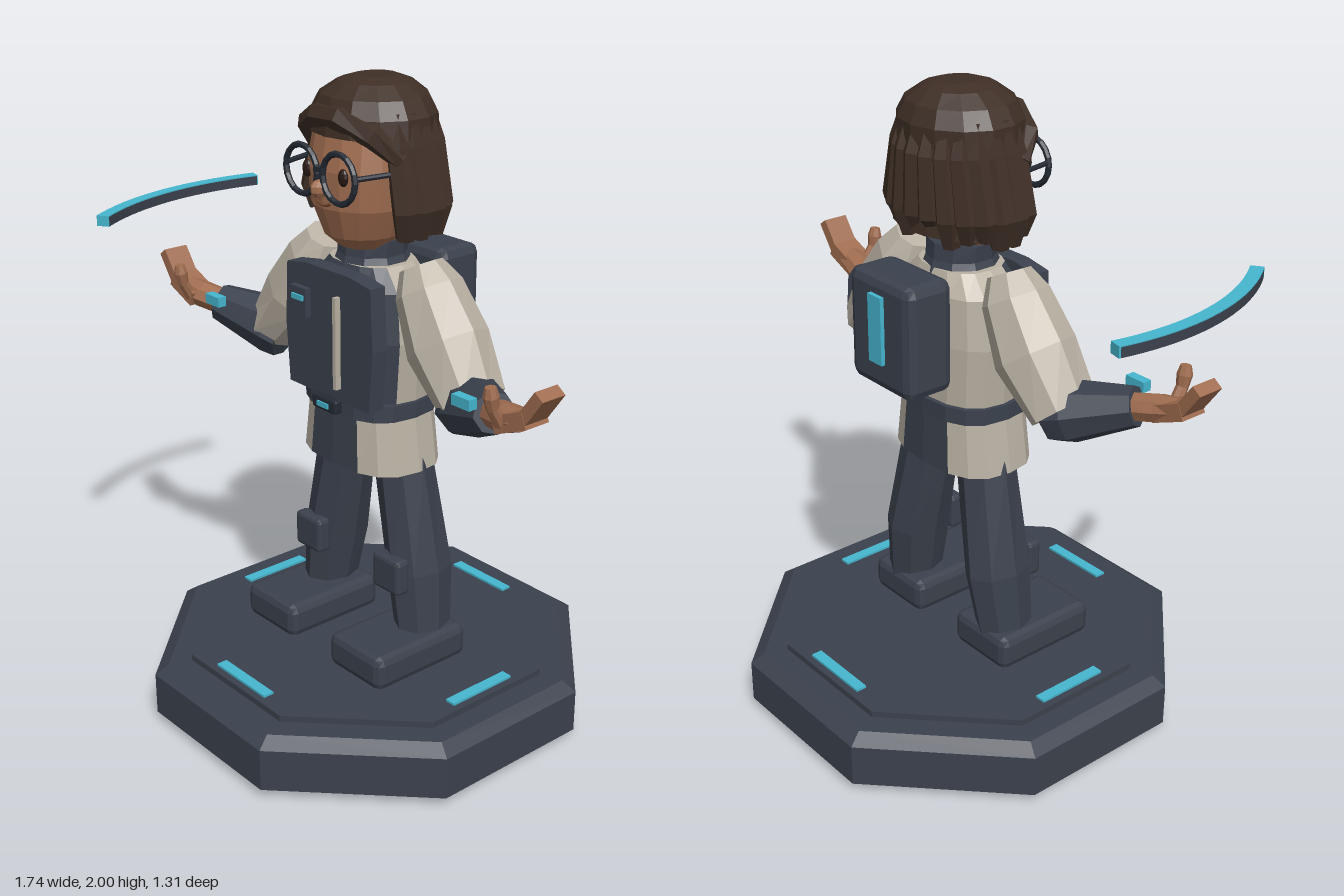
import * as THREE from 'three';
import { RoundedBoxGeometry } from 'three/addons/geometries/RoundedBoxGeometry.js';

const V = (x, y, z) => new THREE.Vector3(x, y, z);

function material(name, color) {
  const m = new THREE.MeshStandardMaterial({ color });
  m.name = name;
  return m;
}

// Faceted normals for the low-poly look
function facet(geo) {
  const g = geo.index ? geo.toNonIndexed() : geo;
  g.computeVertexNormals();
  return g;
}

// Skins a list of rings; pick(i) chooses which side strips are built
function loft(rings, pick = () => true, caps = true) {
  const n = rings[0].length, pos = [];
  const tri = (...p) => p.forEach(v => pos.push(v.x, v.y, v.z));
  for (let k = 0; k < rings.length - 1; k++) {
    const a = rings[k], b = rings[k + 1];
    for (let i = 0; i < n; i++) {
      if (!pick(i)) continue;
      const j = (i + 1) % n;
      tri(a[i], a[j], b[j]);
      tri(a[i], b[j], b[i]);
    }
  }
  if (caps) {
    const a = rings[0], b = rings[rings.length - 1];
    for (let i = 1; i < n - 1; i++) {
      tri(a[0], a[i + 1], a[i]);
      tri(b[0], b[i], b[i + 1]);
    }
  }
  const g = new THREE.BufferGeometry();
  g.setAttribute('position', new THREE.Float32BufferAttribute(pos, 3));
  g.computeVertexNormals();
  return g;
}

// Horizontal rings from [y, rx, rz, centreZ]; power below 1 squares them off
function stack(rows, n = 16, power = 1) {
  const f = t => Math.sign(t) * Math.pow(Math.abs(t), power);
  return rows.map(([y, rx, rz, cz = 0]) => Array.from({ length: n }, (_, i) => {
    const t = i / n * Math.PI * 2;
    return V(rx * f(Math.sin(t)), y, cz + rz * f(Math.cos(t)));
  }));
}

// Limb along points [x, y, z, depthRadius, widthRadius]
function limb(points, n = 8) {
  const c = points.map(p => V(p[0], p[1], p[2]));
  return loft(points.map((p, k) => {
    const dir = c[Math.min(k + 1, c.length - 1)].clone().sub(c[Math.max(k - 1, 0)]).normalize();
    const u = V(0, 0, 1).addScaledVector(dir, -dir.z).normalize();
    const v = dir.clone().cross(u);
    return Array.from({ length: n }, (_, i) => {
      const t = i / n * Math.PI * 2;
      return c[k].clone().addScaledVector(u, p[3] * Math.cos(t)).addScaledVector(v, (p[4] ?? p[3]) * Math.sin(t));
    });
  }));
}

export function createModel() {
  const root = new THREE.Group();
  root.name = 'explorerFigure';
  const navy = material('navy', 0x3b414d);
  const dark = material('darkFrame', 0x252a34);
  const cream = material('cream', 0xb9b1a3);
  const skin = material('skin', 0xa06d50);
  const lip = material('deepSkin', 0x77492f);
  const hair = material('hair', 0x3f2f26);
  const cyan = material('cyan', 0x46b6ce);
  const eyeInk = material('eyeDark', 0x2a1a15);

  const add = (name, geo, mat, x = 0, y = 0, z = 0) => {
    const m = new THREE.Mesh(geo, mat);
    m.name = name;
    m.position.set(x, y, z);
    root.add(m);
    return m;
  };
  const box = (name, mat, w, h, d, x, y, z) => add(name, facet(new THREE.BoxGeometry(w, h, d)), mat, x, y, z);
  const bevelBox = (name, mat, w, h, d, r, x, y, z) =>
    add(name, facet(new RoundedBoxGeometry(w, h, d, 1, r)), mat, x, y, z);

  // Octagonal plinth with raised plate and light strips
  const plinth = [[0, 0], [0.66, 0], [0.709, 0.03], [0.709, 0.165], [0.665, 0.195], [0.59, 0.195], [0.59, 0.215], [0, 0.215]];
  add('plinth', facet(new THREE.LatheGeometry(plinth.map(p => new THREE.Vector2(...p)), 8, Math.PI / 8)), navy);
  for (let k = 0; k < 4; k++) {
    const a = k * Math.PI / 2;
    box('plinthLight', cyan, 0.24, 0.009, 0.035, 0.505 * Math.sin(a), 0.218, 0.505 * Math.cos(a)).rotation.y = a;
  }

  // Tunic skirt with navy centre panels front and back
  const skirt = stack([[0.84, 0.225, 0.158, -0.005], [1.02, 0.2, 0.15, -0.005]], 16, 0.75);
  const centre = i => [15, 0, 7, 8].includes(i);
  add('skirt', loft(skirt, i => !centre(i)), cream);
  add('skirtPanels', loft(skirt, centre, false), navy);

  // Belt and buckle
  add('belt', loft(stack([[1.012, 0.207, 0.162, -0.002], [1.062, 0.207, 0.162, -0.002]], 16, 0.75)), navy);
  bevelBox('buckle', dark, 0.11, 0.045, 0.03, 0.008, 0, 1.042, 0.17);
  box('buckleLight', cyan, 0.05, 0.016, 0.006, 0, 1.04, 0.187);

  // Torso: cream with a navy front
  const torso = stack([[1.06, 0.195, 0.14, -0.01], [1.25, 0.212, 0.145, -0.01], [1.4, 0.195, 0.135, -0.01], [1.465, 0.13, 0.11, -0.01]], 16, 0.8);
  const front = i => i < 3 || i > 12;
  add('torso', loft(torso, i => !front(i)), cream);
  add('torsoFront', loft(torso, front, false), navy);
  const vest = new THREE.Shape([[-0.185, 1.06], [0.185, 1.06], [0.2, 1.25], [0.19, 1.44], [0.1, 1.455], [-0.1, 1.455], [-0.19, 1.44], [-0.2, 1.25]]
    .map(p => new THREE.Vector2(...p)));
  add('vestPlate', facet(new THREE.ExtrudeGeometry(vest, { depth: 0.055, bevelEnabled: false })), navy, 0, 0, 0.108);
  box('zipper', cream, 0.014, 0.285, 0.02, 0.05, 1.243, 0.172);
  box('pocket', navy, 0.075, 0.09, 0.022, -0.118, 1.335, 0.172);
  box('pocketLight', cyan, 0.05, 0.016, 0.008, -0.115, 1.35, 0.186);
  add('collar', loft(stack([[1.44, 0.125, 0.12, -0.01], [1.485, 0.105, 0.105, -0.01], [1.535, 0.11, 0.1, -0.01]], 10)), navy);

  // Backpack
  bevelBox('backpack', navy, 0.285, 0.35, 0.165, 0.03, 0, 1.305, -0.237);
  box('backpackLight', cyan, 0.06, 0.21, 0.014, 0, 1.325, -0.326);

  for (const s of [-1, 1]) {
    const path = pts => limb(pts.map(([x, ...r]) => [s * x, ...r]));
    // Legs, knee pads and shoes
    add('leg', path([[0.12, 0.92, -0.02, 0.085, 0.085], [0.132, 0.84, -0.022, 0.09, 0.092], [0.2, 0.5, -0.03, 0.11, 0.09], [0.227, 0.3, -0.022, 0.093, 0.078]]), navy);
    bevelBox('kneePad', navy, 0.12, 0.115, 0.05, 0.012, s * 0.19, 0.515, 0.08);
    bevelBox('shoe', navy, 0.24, 0.11, 0.365, 0.025, s * 0.21, 0.27, 0.067);

    // Sleeves and cuffs
    add('sleeve', path([[0.212, 1.485, -0.01, 0.065, 0.065], [0.245, 1.42, -0.012, 0.105, 0.098], [0.33, 1.275, -0.01, 0.125, 0.125], [0.445, 1.135, 0, 0.11, 0.09]]), cream);
    add('cuff', path([[0.41, 1.115, -0.005, 0.095, 0.085], [0.46, 1.135, 0.015, 0.1, 0.095], [0.632, 1.187, 0.1, 0.062, 0.06]]), navy);
    box('cuffLight', cyan, 0.07, 0.032, 0.03, s * 0.575, 1.22, 0.16);

    // Hands
    add('wrist', path([[0.6, 1.18, 0.085, 0.045, 0.042], [0.7, 1.2, 0.12, 0.05, 0.042], [0.76, 1.215, 0.13, 0.045, 0.032]]), skin);
    box('palm', skin, 0.12, 0.05, 0.088, s * 0.752, 1.215, 0.128).rotation.z = s * 0.4;
    box('fingers', skin, 0.115, 0.036, 0.085, s * 0.823, 1.272, 0.128).rotation.z = s * 0.95;
    add('thumb', path([[0.715, 1.2, 0.16, 0.02], [0.713, 1.25, 0.19, 0.018], [0.713, 1.285, 0.197, 0.023], [0.713, 1.312, 0.2, 0.016]]), skin);

    // Eyes and glasses
    const eye = add('eye', facet(new THREE.SphereGeometry(1, 10, 6)), eyeInk, s * 0.08, 1.742, 0.168);
    eye.scale.set(0.018, 0.026, 0.012);
    add('glassesRim', facet(new THREE.TorusGeometry(0.071, 0.0095, 6, 18)), dark, s * 0.083, 1.742, 0.187);
    add('glassesTemple', path([[0.15, 1.752, 0.185, 0.008], [0.178, 1.755, 0.07, 0.008]]), dark);
  }

  // Head and face
  add('head', loft(stack([[1.51, 0.085, 0.075, 0.02], [1.55, 0.115, 0.12, 0.025], [1.64, 0.155, 0.147, 0.03], [1.75, 0.168, 0.153, 0.03], [1.86, 0.155, 0.135, 0.025], [1.94, 0.09, 0.09, 0]])), skin);
  box('glassesBridge', dark, 0.035, 0.014, 0.014, 0, 1.756, 0.19);
  const nose = add('nose', facet(new THREE.SphereGeometry(1, 8, 5)), skin, 0, 1.7, 0.19);
  nose.scale.set(0.022, 0.028, 0.03);
  const mouth = add('mouth', new THREE.TorusGeometry(0.06, 0.0045, 4, 10, 1.2), lip, 0, 1.71, 0.176);
  mouth.rotation.z = -Math.PI / 2 - 0.6;

  // Hair: crown, swept fringe, back shell and a row of hanging locks
  add('hairCrown', loft(stack([[1.845, 0.2, 0.18, -0.012], [1.9, 0.195, 0.177, -0.015], [1.95, 0.165, 0.155, -0.015], [1.985, 0.11, 0.11, -0.018], [2.0, 0.06, 0.065, -0.02]], 14)), hair);
  add('fringe', limb([[-0.19, 1.79, 0.05, 0.025], [-0.15, 1.855, 0.105, 0.035], [-0.06, 1.895, 0.14, 0.037], [0.04, 1.9, 0.142, 0.037], [0.14, 1.86, 0.11, 0.035], [0.19, 1.79, 0.05, 0.025]], 6), hair);
  const open = 1.2;
  const shellMat = hair.clone();
  shellMat.side = THREE.DoubleSide;
  const shell = add('hairShell', facet(new THREE.CylinderGeometry(0.19, 0.225, 0.29, 14, 1, true, open, 2 * (Math.PI - open))), shellMat, 0, 1.735, -0.015);
  shell.scale.z = 0.8;
  const locks = 15;
  for (let k = 0; k < locks; k++) {
    const t = open + k / (locks - 1) * 2 * (Math.PI - open);
    const sx = Math.sin(t), cz = Math.cos(t);
    const low = 1.565 + 0.03 * (k % 3) * Math.abs(cz);
    add('hairLock', limb([
      [0.165 * sx, 1.915, -0.015 + 0.14 * cz, 0.02],
      [0.18 * sx, 1.82, -0.015 + 0.16 * cz, 0.036],
      [0.222 * sx, 1.645, -0.015 + 0.16 * cz, 0.042],
      [0.21 * sx, low, -0.015 + 0.145 * cz, 0.028]], 6), hair);
  }

  // Floating arc: dark bar with a glowing top and ends
  const a0 = -0.23, a1 = 0.6;
  const arc = new THREE.Shape();
  arc.absarc(0, 0, 0.87, Math.PI + a0, Math.PI + a1, false);
  arc.absarc(0, 0, 0.83, Math.PI + a1, Math.PI + a0, true);
  const bar = depth => facet(new THREE.ExtrudeGeometry(arc, { depth, bevelEnabled: false, curveSegments: 10 }).rotateX(-Math.PI / 2));
  add('arcBar', bar(0.03), navy, 0, 1.495, 0);
  add('arcGlow', bar(0.003), cyan, 0, 1.525, 0);
  for (const a of [a0, a1])
    box('arcEnd', cyan, 0.04, 0.033, 0.006, -0.85 * Math.cos(a), 1.5115, 0.85 * Math.sin(a)).rotation.y = a;

  return root;
}
